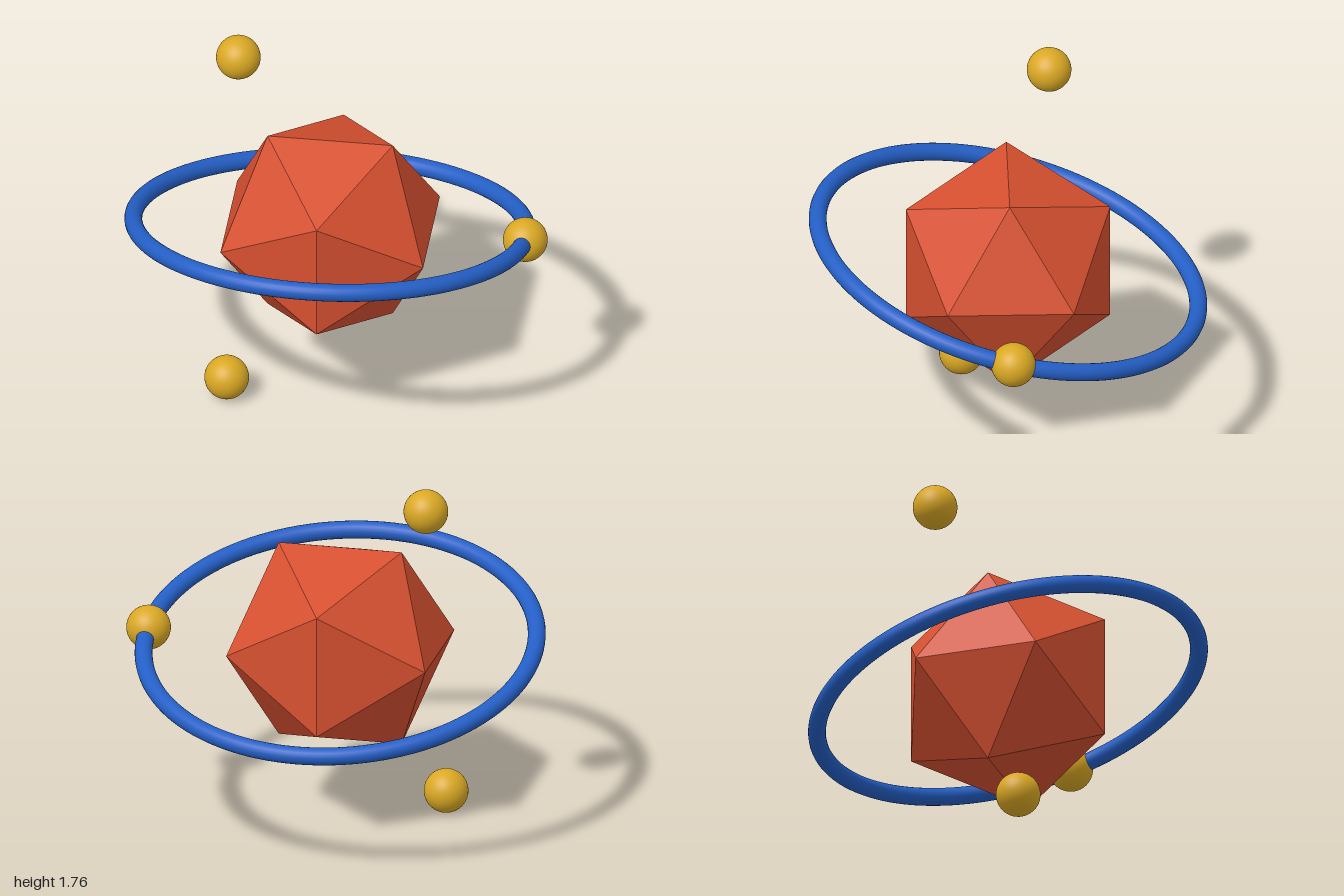
import * as THREE from 'three';

const CENTER = [-0.03, 0.88, 0];
const ORBIT = 0.926;  // radius shared by the ring and the satellites
const TILT = -0.26;   // lean of the orbit planes about x

export function createModel() {
  const red = new THREE.MeshStandardMaterial({ name: 'coreRed', color: 0xd65030, flatShading: true });
  const blue = new THREE.MeshStandardMaterial({ name: 'ringBlue', color: 0x245fc6 });
  const gold = new THREE.MeshStandardMaterial({ name: 'satelliteGold', color: 0xdaa824 });

  const model = new THREE.Group();
  model.name = 'orbitalModel';

  // Faceted core, upright
  const core = new THREE.Mesh(new THREE.IcosahedronGeometry(0.565, 0), red);
  core.name = 'core';
  core.position.set(...CENTER);
  model.add(core);

  // Tilted frame carrying the ring and satellites
  const orbit = new THREE.Group();
  orbit.name = 'orbit';
  orbit.position.set(...CENTER);
  orbit.rotation.x = TILT;
  model.add(orbit);

  const ring = new THREE.Mesh(new THREE.TorusGeometry(ORBIT, 0.042, 20, 128), blue);
  ring.name = 'ring';
  ring.rotation.x = Math.PI / 2;
  orbit.add(ring);

  // Three satellites evenly spaced on a circle perpendicular to the ring
  const ball = new THREE.SphereGeometry(0.105, 40, 28);
  for (let i = 0; i < 3; i++) {
    const a = (i * 2 * Math.PI) / 3;
    const satellite = new THREE.Mesh(ball, gold);
    satellite.name = `satellite${i + 1}`;
    satellite.position.set(ORBIT * Math.cos(a), ORBIT * Math.sin(a), 0);
    orbit.add(satellite);
  }
  return model;
}
